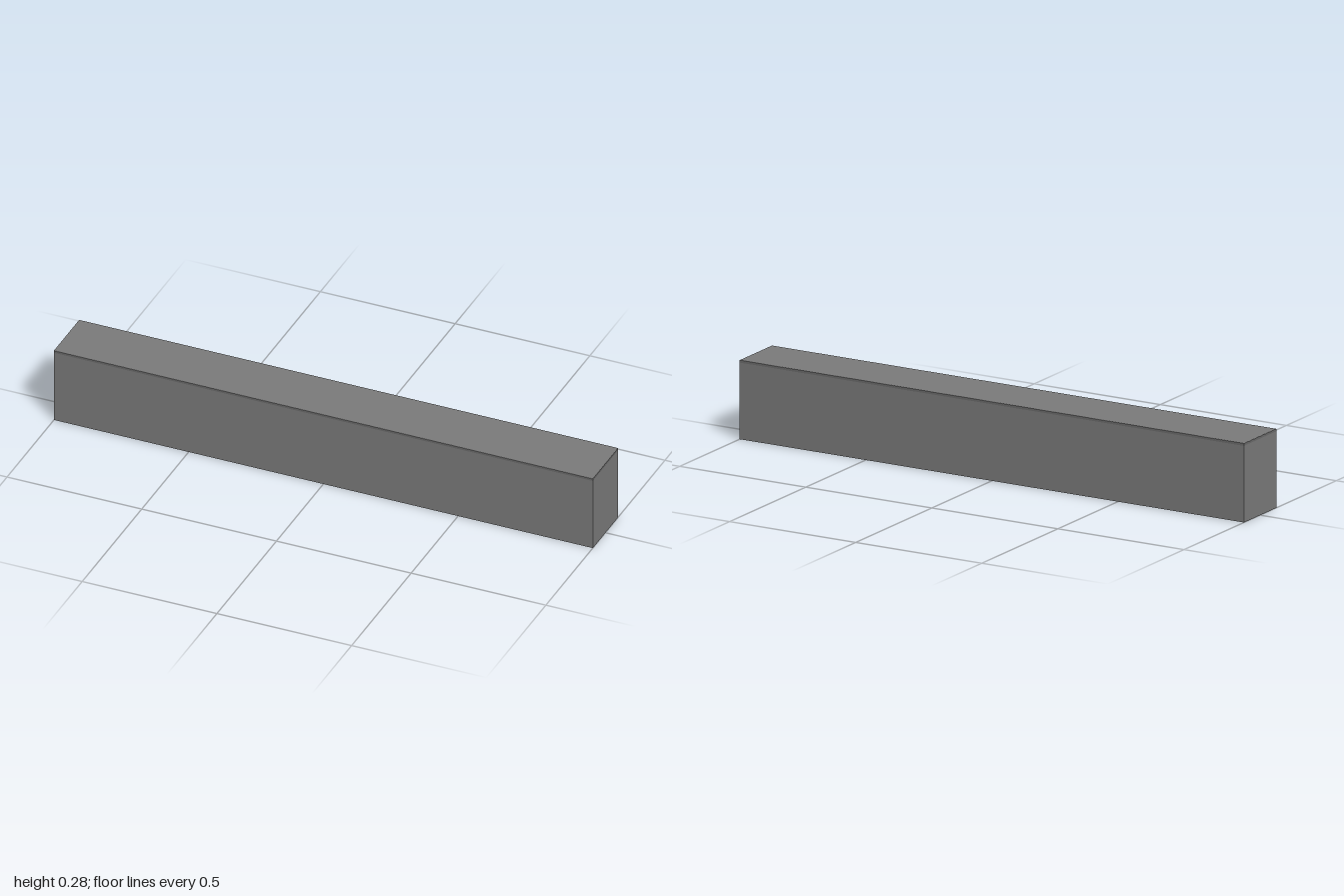
import * as THREE from 'three';

export function createModel() {
  const model = new THREE.Group();
  const skirtMat = new THREE.MeshStandardMaterial({ color: 0x7a7a7a, side: THREE.DoubleSide });
  const topMat = new THREE.MeshStandardMaterial({ color: 0x6a6a6a });
  const frameMat = new THREE.MeshStandardMaterial({ color: 0x1e1e1e });
  const deckMat = new THREE.MeshStandardMaterial({ color: 0x2b2b33 });

  const L = 2, H = 0.279, D = 0.212;

  function box(name, w, h, d, x, y, z, mat) {
    const mesh = new THREE.Mesh(new THREE.BoxGeometry(w, h, d), mat);
    mesh.name = name;
    mesh.position.set(x, y, z);
    model.add(mesh);
  }
  function panel(name, w, x, z, turn) {
    const mesh = new THREE.Mesh(new THREE.PlaneGeometry(w, H), skirtMat);
    mesh.name = name;
    mesh.position.set(x, H / 2, z);
    mesh.rotation.y = turn;
    model.add(mesh);
  }

  // Thin skirt around all four sides, open underneath
  panel('frontPanel', L, 0, D / 2, 0);
  panel('backPanel', L, 0, -D / 2, Math.PI);
  panel('leftPanel', D, L / 2, 0, Math.PI / 2);
  panel('rightPanel', D, -L / 2, 0, -Math.PI / 2);

  // Top cover with a slim edge band under it
  const cover = new THREE.Mesh(new THREE.PlaneGeometry(L, D), skirtMat);
  cover.name = 'topCover';
  cover.rotation.x = -Math.PI / 2;
  cover.position.y = H;
  model.add(cover);
  box('topSlab', L + 0.001, 0.008, D + 0.001, 0, H - 0.0045, 0, topMat);

  // Inner decks: a dark middle and two raised end bays
  box('middleDeck', 1.02, 0.01, 0.2, 0.11, 0.105, 0, frameMat);
  box('leftDeck', 0.36, 0.01, 0.2, 0.8, 0.115, 0, deckMat);
  box('rightDeck', 0.58, 0.01, 0.2, -0.69, 0.115, 0, deckMat);
  for (const x of [-0.57, -0.8]) box('crossBar', 0.012, 0.016, 0.19, x, 0.108, 0, frameMat);

  // Long rails and paired-post legs, mirrored front and back
  for (const side of [-1, 1]) {
    box('rail', 1.96, 0.018, 0.012, 0, 0.1, side * 0.094, frameMat);
    for (const x of [0.975, 0.62, 0.12, -0.4, -0.975])
      for (const dx of [-0.01, 0.01])
        box('leg', 0.012, 0.268, 0.012, x + dx, 0.135, side * 0.097, frameMat);
  }
  return model;
}
